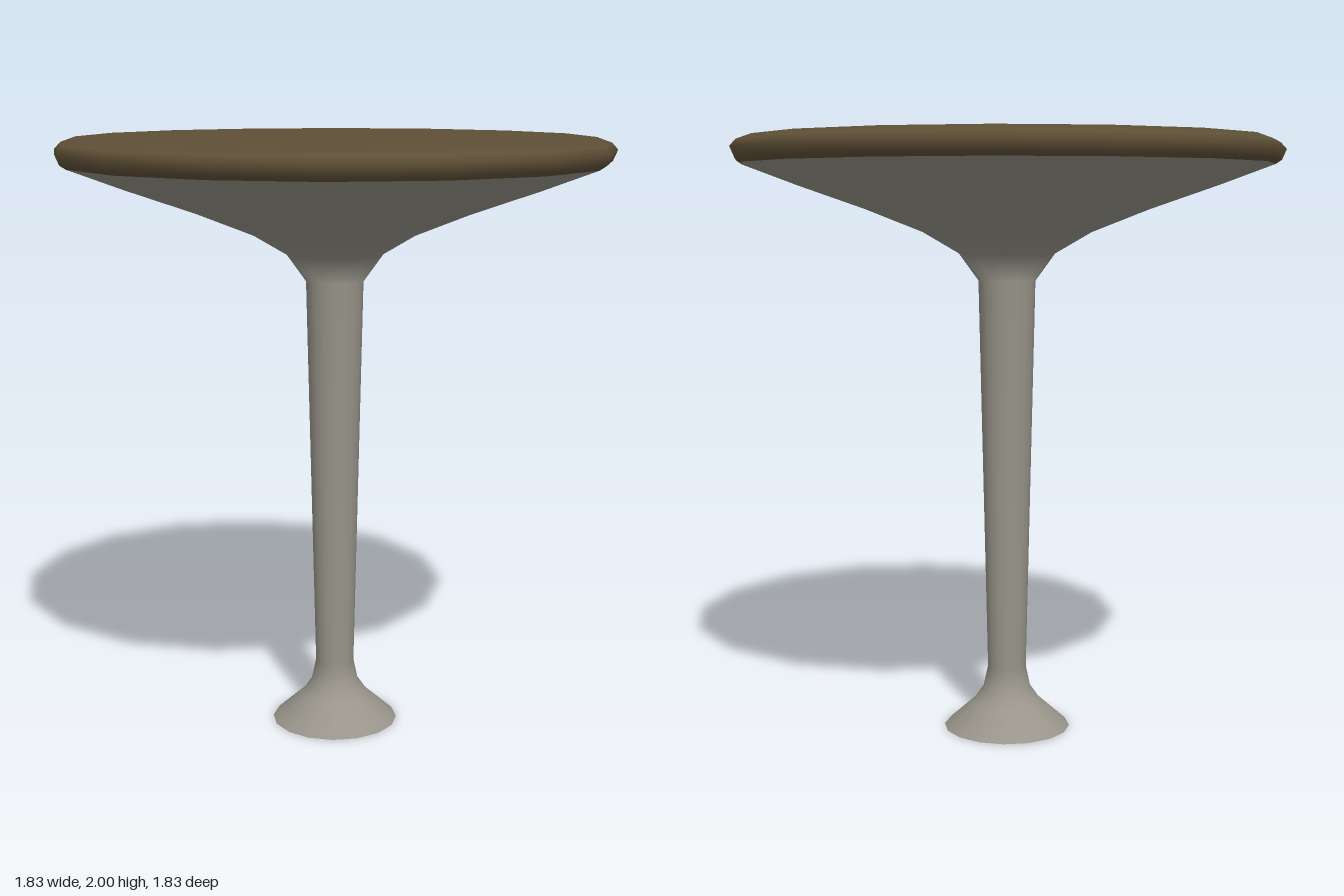
import * as THREE from 'three';

const SIDES = 16;

// Turned part from [radius, height] points, listed from bottom to top
function turned(name, points, material) {
  const profile = points.map(([r, y]) => new THREE.Vector2(r, y));
  const mesh = new THREE.Mesh(new THREE.LatheGeometry(profile, SIDES), material);
  mesh.name = name;
  return mesh;
}

export function createModel() {
  const metal = new THREE.MeshStandardMaterial({ color: 0x99958b, side: THREE.DoubleSide });
  metal.name = 'warm grey metal';
  const wood = new THREE.MeshStandardMaterial({ color: 0x5e4f36 });
  wood.name = 'dark wood';

  const table = new THREE.Group();
  table.name = 'pedestalTable';

  // Hollow flared foot, tapered stem and trumpet-shaped support
  table.add(turned('pedestal', [
    [0.215, 0], [0.115, 0.09], [0.08, 0.14], [0.065, 0.21],
    [0.095, 1.53], [0.16, 1.62], [0.28, 1.69], [0.47, 1.765],
    [0.7, 1.845], [0.88, 1.912],
  ], metal));

  // Round top with a bevelled rim
  table.add(turned('tableTop', [
    [0.88, 1.912], [0.9, 1.925], [0.915, 1.96], [0.895, 1.982], [0.845, 2], [0, 2],
  ], wood));

  return table;
}
